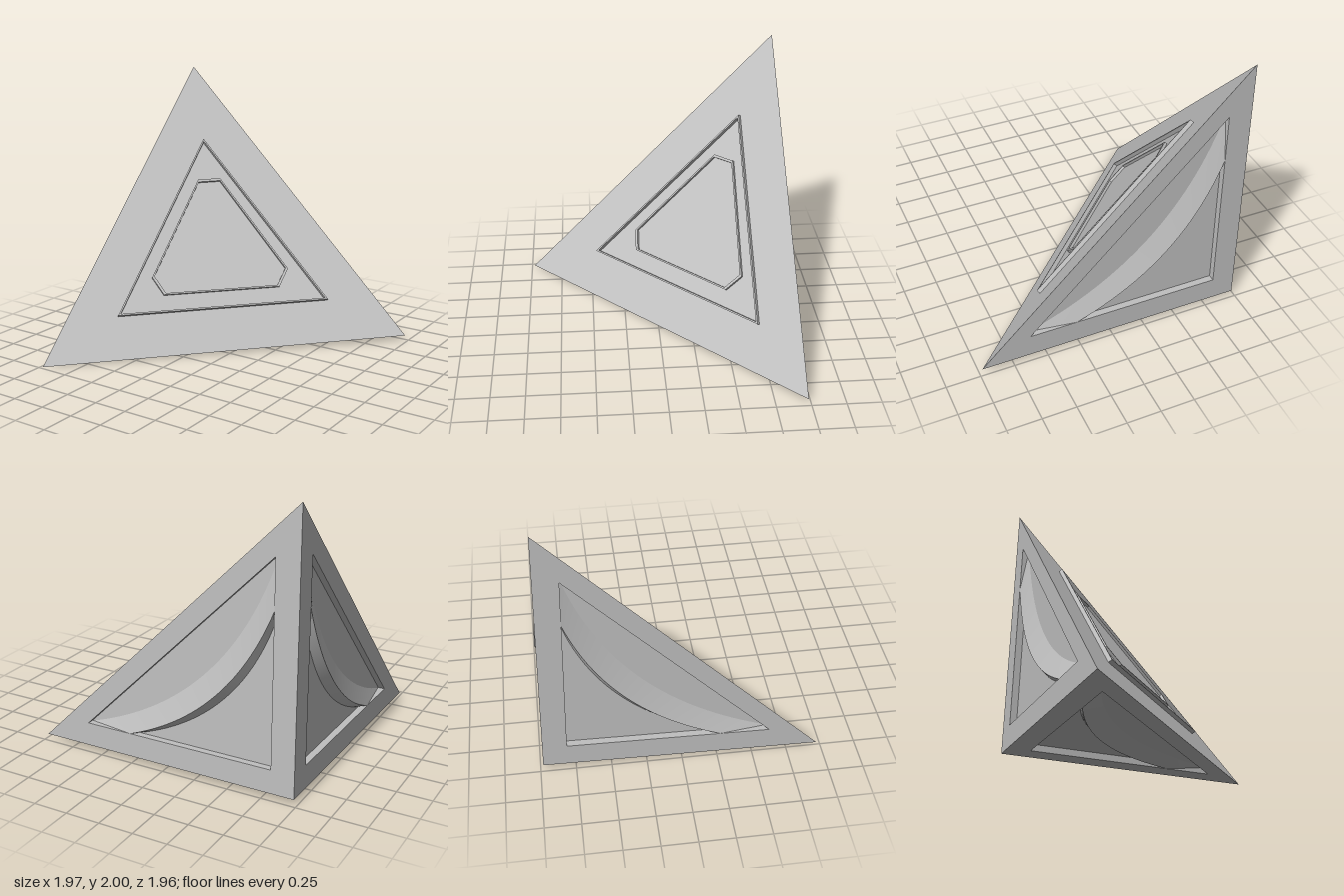
import * as THREE from 'three';

const V = (x, y, z) => new THREE.Vector3(x, y, z);

// Corners: top, front foot, side foot, and the square corner where three faces meet
const A = V(-0.98, 2, -0.94), B = V(-0.98, 0, 0.98), C = V(0.98, 0.04, -0.98), D = V(-0.98, 0.04, -0.98);
const LEG = 1.96;

function geometryOf(points) {
  const g = new THREE.BufferGeometry().setFromPoints(points);
  g.computeVertexNormals();
  return g;
}

// Joins closed rings of equal length with flat faces; an optional cap closes a triangular last ring
function loft(rings, cap = false) {
  const pts = [];
  for (let r = 0; r < rings.length - 1; r++) {
    const a = rings[r], b = rings[r + 1], n = a.length;
    for (let i = 0; i < n; i++) {
      const j = (i + 1) % n;
      pts.push(a[i], a[j], b[j], a[i], b[j], b[i]);
    }
  }
  if (cap) pts.push(...rings[rings.length - 1]);
  return geometryOf(pts);
}

// Smooth strip between two open curves
function strip(a, b) {
  const g = new THREE.BufferGeometry().setFromPoints([...a, ...b]);
  const n = a.length, index = [];
  for (let i = 0; i < n - 1; i++) index.push(i, i + 1, n + i + 1, i, n + i + 1, n + i);
  g.setIndex(index);
  g.computeVertexNormals();
  return g;
}

export function createModel() {
  const model = new THREE.Group();
  const grey = new THREE.MeshStandardMaterial({ color: 0xc0c0c0, side: THREE.DoubleSide });
  grey.name = 'light grey';
  const add = (parent, name, geometry) => {
    const mesh = new THREE.Mesh(geometry, grey);
    mesh.name = name;
    parent.add(mesh);
  };

  // Large sloping face
  add(model, 'slopingFace', geometryOf([A, B, C]));
  const plane = new THREE.Plane().setFromCoplanarPoints(A, B, C);
  const normal = plane.normal;

  // Thin raised rims on the sloping face
  const rim = (name, points, inset, height) => {
    const outer = points.map(p => plane.projectPoint(p, V(0, 0, 0)));
    const mid = outer.reduce((s, p) => s.add(p), V(0, 0, 0)).divideScalar(outer.length);
    const inner = outer.map(p => p.clone().lerp(mid, inset));
    const lift = ring => ring.map(p => p.clone().addScaledVector(normal, height));
    add(model, name, loft([outer, lift(outer), lift(inner), inner]));
  };
  const centre = V(0, 0, 0).add(A).add(B).add(C).divideScalar(3);
  rim('triangularRim', [A, B, C].map(p => centre.clone().lerp(p, 0.585)), 0.026, 0.03);
  rim('sixSidedRim', [
    V(-0.61, 1.18, -0.47), V(-0.61, 0.53, 0.145), V(-0.5, 0.41, 0.145),
    V(0.145, 0.43, -0.48), V(0.145, 0.54, -0.6), V(-0.49, 1.18, -0.6),
  ], 0.035, 0.02);

  // Three square-cornered faces, each with a triangular recess and a curved ridge
  const squareFace = (name, P, Q) => {
    const face = new THREE.Group();
    face.name = name;
    model.add(face);
    const p = P.clone().sub(D), q = Q.clone().sub(D);
    const out = p.clone().cross(q).normalize();
    const at = (u, v, h) => D.clone().addScaledVector(p, u / LEG).addScaledVector(q, v / LEG).addScaledVector(out, h);
    const lo = 0.17, hi = 1.6, depth = 0.05;
    const corners = h => [at(lo, lo, h), at(hi, lo, h), at(lo, hi, h)];
    add(face, 'recessedFace', loft([[D, P, Q], corners(0), corners(-depth)], true));

    // Symmetric arc bowing towards the square corner
    const arc = (end, mid, height) => {
      const c = 2 * mid - (end + lo) / 2;
      const curve = new THREE.QuadraticBezierCurve(
        new THREE.Vector2(end, lo), new THREE.Vector2(c, c), new THREE.Vector2(lo, end));
      return curve.getPoints(32).map((s, i) => at(s.x, s.y, height(Math.sin(Math.PI * i / 32))));
    };
    const top = arc(1.59, 0.70, () => -depth);
    const crest = arc(1.25, 0.59, s => 0.011 * s);
    const foot = arc(1.20, 0.555, () => -depth);
    add(face, 'ridgeSlope', strip(top, crest));
    add(face, 'ridgeWall', strip(crest, foot));
  };
  squareFace('backFace', A, C);
  squareFace('sideFace', B, A);
  squareFace('bottomFace', C, B);

  return model;
}
